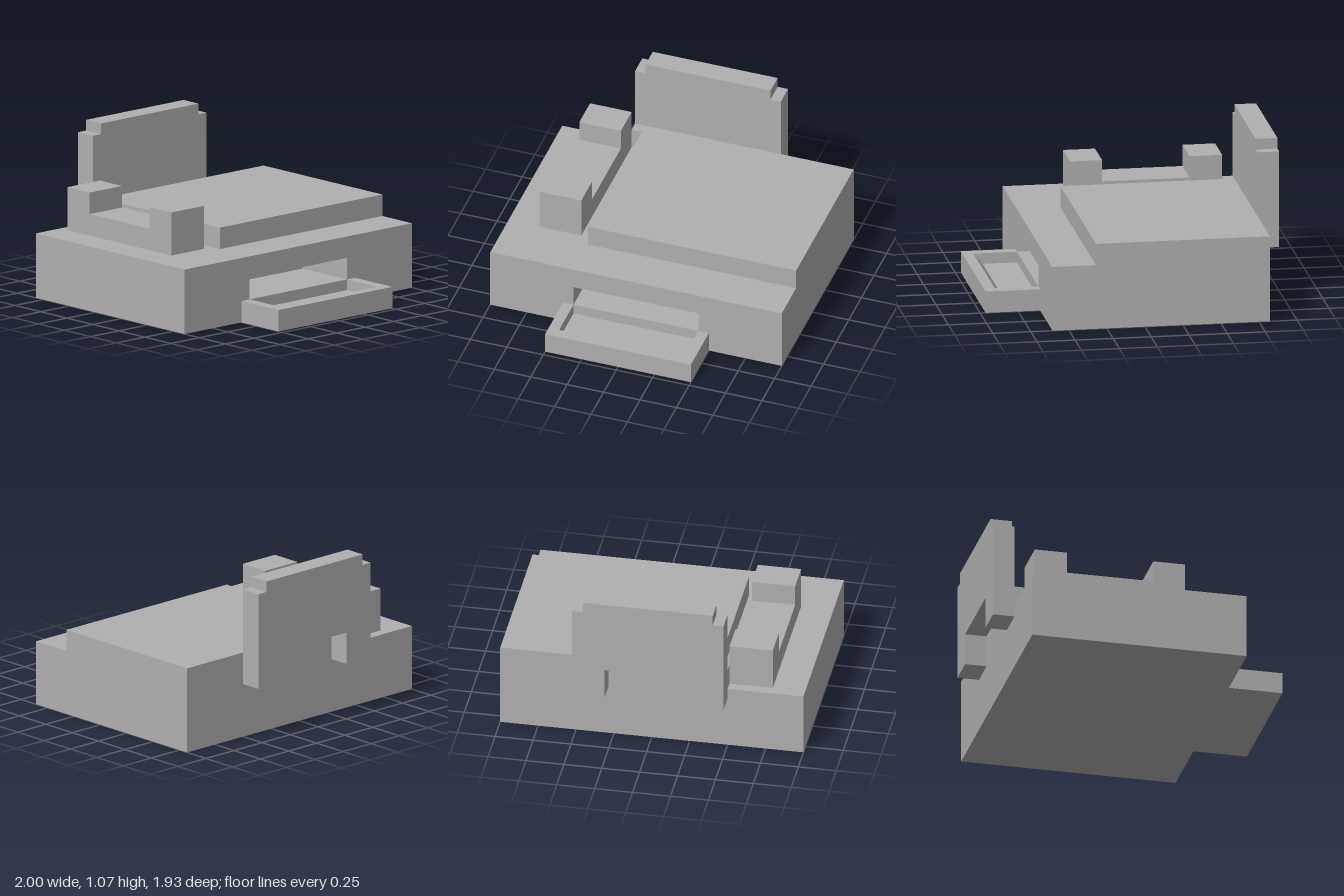
import * as THREE from 'three';

const U = 1 / 14; // modelling grid: 28 units span the width

export function createModel() {
  const model = new THREE.Group();
  model.name = 'deskPrinter';
  const grey = new THREE.MeshStandardMaterial({ color: 0xb0b0b0 });
  grey.name = 'plain grey';

  const add = (name, geometry) => {
    const mesh = new THREE.Mesh(geometry, grey);
    mesh.name = name;
    model.add(mesh);
    return mesh;
  };

  // box given by its limits in grid units
  const box = (name, x0, x1, y0, y1, z0, z1) => {
    const g = new THREE.BoxGeometry((x1 - x0) * U, (y1 - y0) * U, (z1 - z0) * U);
    g.translate((x0 + x1) * U / 2, (y0 + y1) * U / 2, (z0 + z1) * U / 2);
    return add(name, g);
  };

  const toPoints = (pts) => pts.map(([a, b]) => new THREE.Vector2(a * U, b * U));

  // front outline pushed from z0 to z1
  const extrudeZ = (name, pts, z0, z1, hole) => {
    const shape = new THREE.Shape(toPoints(pts));
    if (hole) shape.holes.push(new THREE.Path(toPoints(hole)));
    const g = new THREE.ExtrudeGeometry(shape, { depth: (z1 - z0) * U, bevelEnabled: false });
    g.translate(0, 0, z0 * U);
    return add(name, g);
  };

  // side outline (z, y) spread evenly about x = 0
  const extrudeX = (name, pts, halfWidth) => {
    const g = new THREE.ExtrudeGeometry(new THREE.Shape(toPoints(pts)),
      { depth: 2 * halfWidth * U, bevelEnabled: false });
    g.translate(0, 0, -halfWidth * U);
    g.rotateY(-Math.PI / 2);
    return add(name, g);
  };

  // body: front half has the paper slot, rear half is solid
  extrudeZ('bodyFront', [[-14, 0], [14, 0], [14, 6], [-14, 6]], 2.5, 8.5,
    [[-6, 2], [-6, 4], [6, 4], [6, 2]]);
  box('bodyRear', -14, 14, 0, 6, -11.5, 2.5);

  // raised lid with a small rear corner tab
  box('lid', -6, 14, 6, 8, -11.5, 4.5);
  box('lidTab', -7, -6, 6, 8, -11.5, -10.55);

  // control bridge: low bar with a raised block at each end
  extrudeX('controlBridge', [
    [-10.55, 6], [3.45, 6], [3.45, 10], [0.5, 10], [0.5, 8],
    [-7.55, 8], [-7.55, 10], [-10.55, 10],
  ], 2).position.x = -9 * U;

  // rear paper support: stepped top, two legs below
  extrudeZ('paperSupport', [
    [-7, 5], [-4, 5], [-4, 8], [4, 8], [4, 5], [7, 5],
    [7, 14], [6, 14], [6, 15], [-6, 15], [-6, 14], [-7, 14],
  ], -13.5, -11.5);

  // output tray: recessed floor, sloped inner lip, side rims
  extrudeX('trayFloor', [
    [8.5, 0], [13.5, 0], [13.5, 2], [12.5, 2], [11.65, 1], [8.5, 1],
  ], 6);
  for (const s of [-1, 1]) {
    box(s < 0 ? 'rightTrayRim' : 'leftTrayRim', 6.5 * s - 0.5, 6.5 * s + 0.5, 0, 2, 8.5, 13.5);
  }

  return model;
}
